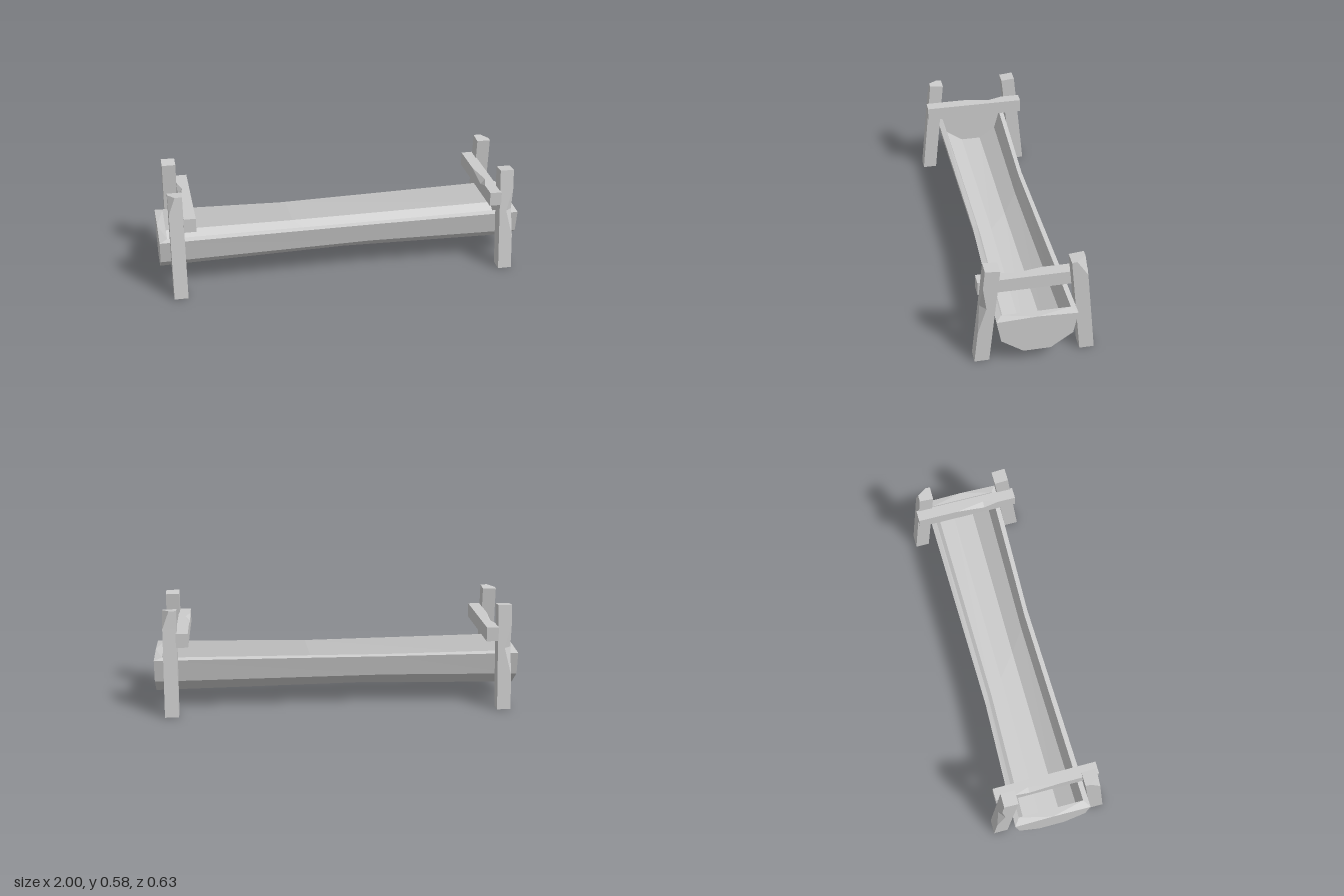
import * as THREE from 'three';

const material = new THREE.MeshStandardMaterial({ color: 0xcccccc, flatShading: true });

// Flat-shaded mesh from a list of triangle corner points
function triMesh(name, points) {
  const geometry = new THREE.BufferGeometry().setFromPoints(points);
  geometry.computeVertexNormals();
  const mesh = new THREE.Mesh(geometry, material);
  mesh.name = name;
  return mesh;
}

// Triangles joining consecutive closed rings (counter-clockwise about the axis)
function loft(rings) {
  const out = [];
  const tri = (a, b, c) => {
    const area = b.clone().sub(a).cross(c.clone().sub(a)).length();
    if (area > 1e-7) out.push(a, b, c);
  };
  for (let r = 0; r < rings.length - 1; r++) {
    const p = rings[r], q = rings[r + 1], n = p.length;
    for (let i = 0; i < n; i++) {
      const j = (i + 1) % n;
      tri(p[i], p[j], q[j]);
      tri(p[i], q[j], q[i]);
    }
  }
  return out;
}

function fan(loop) {
  const out = [];
  for (let i = 1; i < loop.length - 1; i++) out.push(loop[0], loop[i], loop[i + 1]);
  return out;
}

// Square beam along y whose (+x, +z) edge is cut back; stations are [y, cutX, cutZ]
function chippedBeam(name, w, d, stations, flipZ = false, bend = (v) => v) {
  const rings = stations.map(([y, cx, cz]) => {
    const ring = [[w - cx, d], [w, d - cz], [w, -d], [-w, -d], [-w, d]]
      .map(([x, z]) => bend(new THREE.Vector3(x, y, z)));
    if (!flipZ) return ring;
    ring.forEach((v) => { v.z *= -1; });
    return ring.reverse();
  });
  return triMesh(name, [
    ...loft(rings), ...fan([...rings[0]].reverse()), ...fan(rings[rings.length - 1]),
  ]);
}

// Hollowed log: outer and inner halves of one profile, slimmer in the middle
function makeTrough() {
  const mirrorHalf = (half) => [...half, ...half.map(([z, y]) => [-z, y]).reverse()];
  const profile = (outer, inner) =>
    [...mirrorHalf(outer), ...mirrorHalf(inner).reverse().map(([z, y]) => [z, y])];
  const endProfile = profile(
    [[0.21, 0.29], [0.186, 0.165], [0.071, 0.082]],
    [[0.18, 0.299], [0.15, 0.185], [0.057, 0.12]]);
  const midProfile = profile(
    [[0.187, 0.281], [0.165, 0.17], [0.062, 0.097]],
    [[0.162, 0.287], [0.135, 0.187], [0.052, 0.13]]);

  const end = (s) => endProfile.map(([z, y], i) => new THREE.Vector3(s * (i < 6 ? 1 : 0.957), y, z));
  const middle = midProfile.map(([z, y]) => new THREE.Vector3(-0.05 + 1.3 * z, y, z));
  const points = loft([end(-1), middle, end(1)]);

  // End walls: outside face, inside face and the rim between them
  for (const s of [-1, 1]) {
    const ring = end(s);
    const outer = ring.slice(0, 6), inner = ring.slice(6);
    const crest = new THREE.Vector3(s, 0.299, 0);
    const faces = [
      ...fan([crest, ...outer]), ...fan(inner),
      outer[0], crest, inner[5],
      crest, outer[5], inner[0],
      crest, inner[0], inner[5],
    ];
    points.push(...(s > 0 ? faces : faces.reverse()));
  }
  return triMesh('trough', points);
}

export function createModel() {
  const model = new THREE.Group();
  model.add(makeTrough());

  // Posts lean inward, with a slightly tilted top
  const lean = (v) => {
    const tilt = v.y > 0.5 ? v.z * 0.1 : 0;
    return new THREE.Vector3(v.x + 0.907, v.y + tilt, v.z + 0.2765 - 0.1014 * v.y);
  };
  const dented = [[0, 0, 0], [0.19, 0, 0], [0.34, 0.037, 0.03], [0.47, 0, 0], [0.572, 0, 0]];
  const cornerCut = [[0, 0, 0], [0.48, 0, 0], [0.572, 0.036, 0.05]];
  for (const turned of [false, true]) {
    const posts = [
      chippedBeam(turned ? 'backRightPost' : 'frontLeftPost', 0.0375, 0.0385, dented, false, lean),
      chippedBeam(turned ? 'frontRightPost' : 'backLeftPost', 0.0375, 0.0385, cornerCut, true, lean),
    ];
    for (const post of posts) {
      if (turned) post.rotation.y = Math.PI;
      model.add(post);
    }
  }

  // Crossbars on the inner side of each post pair, nicked along one top edge
  const bars = [['rightCrossbar', -0.838, [-0.18, -0.1, 0.06]], ['leftCrossbar', 0.842, [-0.06, 0.1, 0.18]]];
  for (const [name, x, [a, b, c]] of bars) {
    const bar = chippedBeam(name, 0.0325, 0.0385,
      [[-0.283, 0, 0], [a, 0, 0], [b, 0.025, 0.028], [c, 0, 0], [0.283, 0, 0]]);
    bar.geometry.rotateX(-Math.PI / 2).rotateY(Math.PI);
    bar.position.set(x, 0.419, 0);
    model.add(bar);
  }
  return model;
}
